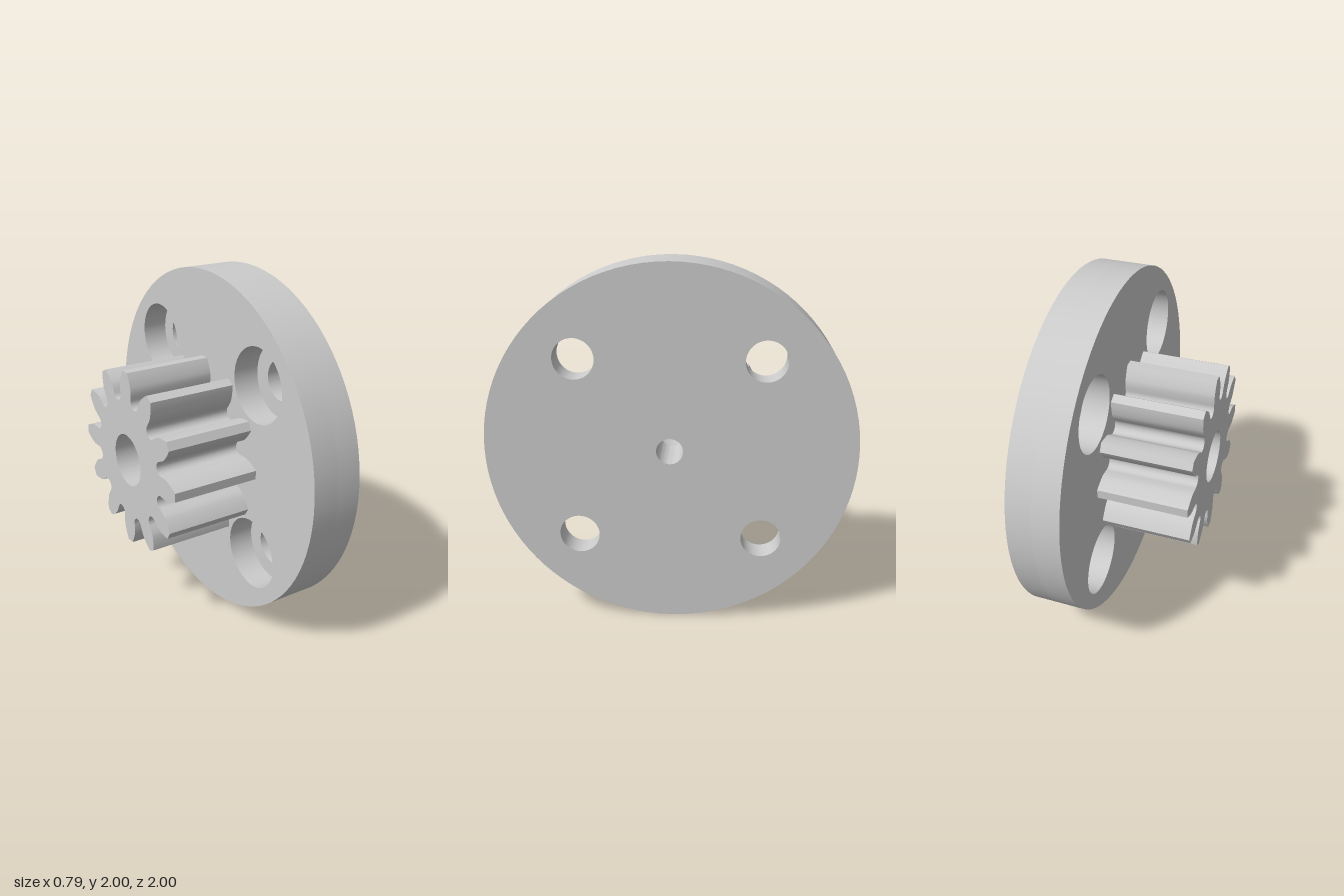
import * as THREE from 'three';
import { toCreasedNormals } from 'three/addons/utils/BufferGeometryUtils.js';

const material = new THREE.MeshStandardMaterial({ color: 0xcccccc });

function addHole(shape, x, y, radius) {
  const hole = new THREE.Path();
  hole.absarc(x, y, radius, 0, Math.PI * 2, true);
  shape.holes.push(hole);
}

// Extrude a profile along the x axis, from x0 to x1, about the axle at y = 1
function slab(name, shape, x0, x1) {
  const geometry = new THREE.ExtrudeGeometry(shape, { depth: x1 - x0, bevelEnabled: false, curveSegments: 48 });
  geometry.translate(0, 0, x0);
  geometry.rotateY(Math.PI / 2);
  geometry.translate(0, 1, 0);
  const mesh = new THREE.Mesh(toCreasedNormals(geometry, 0.6), material);
  mesh.name = name;
  return mesh;
}

// One layer of the disc, with an axle hole and four bolt holes
function discShape(boltRadius) {
  const shape = new THREE.Shape();
  shape.absarc(0, 0, 1, 0, Math.PI * 2, false);
  addHole(shape, 0, 0, 0.072);
  for (const x of [-0.5, 0.5]) for (const y of [-0.5, 0.5]) addHole(shape, x, y, boltRadius);
  return shape;
}

// Twelve curved teeth with rounded valleys between them
function gearShape(teeth = 12) {
  const pitch = (Math.PI * 2) / teeth;
  // Flank as [distance from axle, half width], from the neck out to the tip
  const flank = [[0.4, 0.061], [0.425, 0.062], [0.445, 0.058], [0.47, 0.049], [0.495, 0.038], [0.518, 0.025]];
  const points = [];
  const add = (r, side, angle) =>
    points.push(new THREE.Vector2(r, side).rotateAround(new THREE.Vector2(), angle));
  for (let i = 0; i < teeth; i++) {
    const angle = i * pitch;
    flank.forEach(([r, w]) => add(r, -w, angle));
    [...flank].reverse().forEach(([r, w]) => add(r, w, angle));
    // Valley: half circle halfway to the next tooth
    for (let k = 0; k <= 12; k++) {
      const a = (k / 12) * Math.PI;
      add(0.385 - 0.043 * Math.sin(a), -0.041 * Math.cos(a), angle + pitch / 2);
    }
  }
  const shape = new THREE.Shape(points);
  addHole(shape, 0, 0, 0.15);
  return shape;
}

export function createModel() {
  const group = new THREE.Group();
  group.name = 'gearWheel';
  group.add(
    slab('discPlate', discShape(0.11), 0.255, 0.393),
    slab('discCounterbores', discShape(0.205), 0.105, 0.255),
    slab('pinionGear', gearShape(), -0.396, 0.105),
  );
  return group;
}
